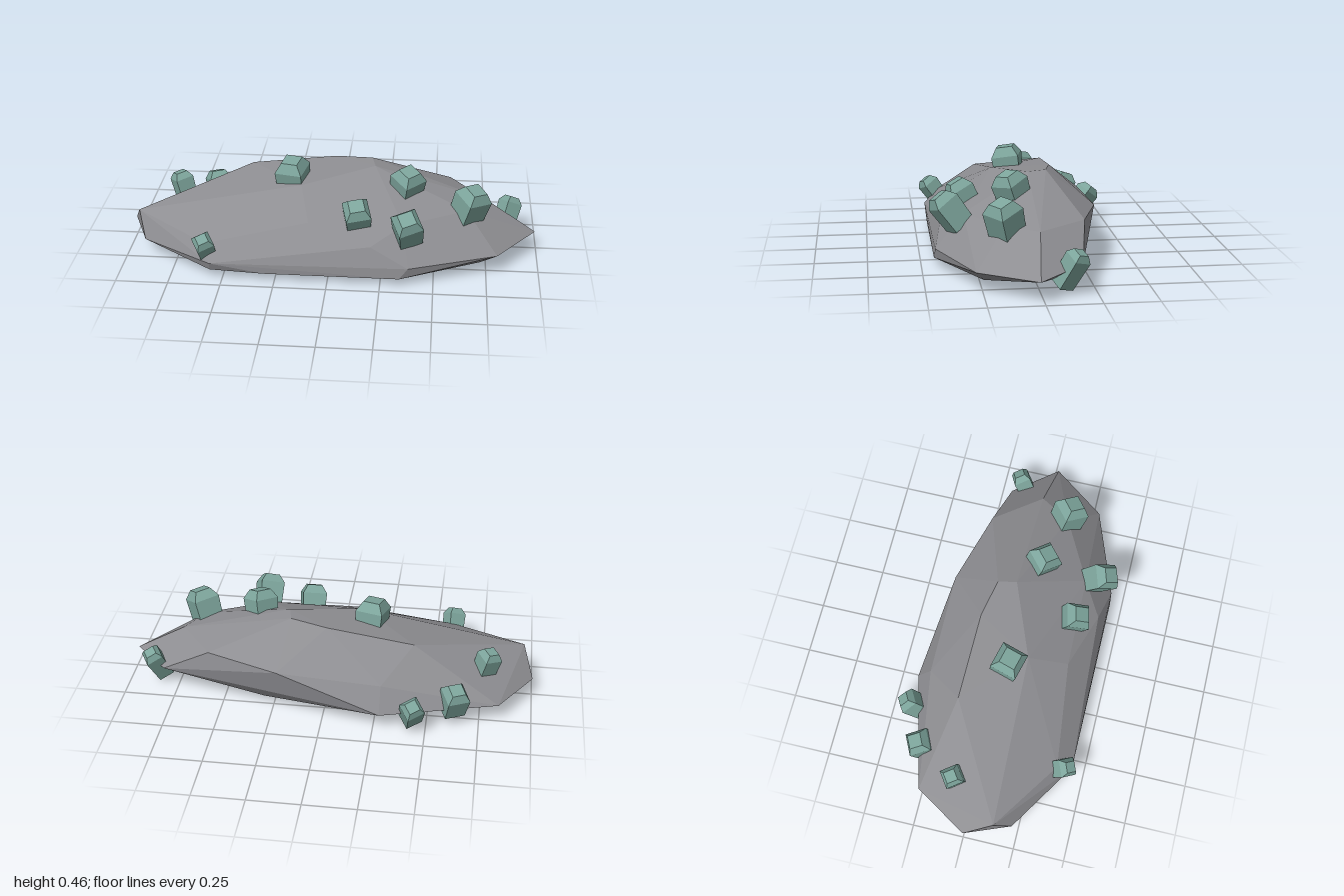
import * as THREE from 'three';
import { ConvexGeometry } from 'three/addons/geometries/ConvexGeometry.js';

const V = (p) => new THREE.Vector3(...p);

// Faceted slab of stone: a hull around a few corner points
function makeRock(material) {
  const base = [
    [0.34, 0.027, 0.44], [-0.3, 0.027, 0.44], [-0.56, 0.03, 0.425], [-0.84, 0.03, 0.18],
    [-0.86, 0.03, 0], [-0.76, 0.03, -0.18], [-0.28, 0.027, -0.26], [0.3, 0.027, -0.24],
    [0.72, 0.027, -0.1], [0.72, 0.027, 0.24],
  ];
  const rim = [
    [0.99, 0.09, 0.02], [0.8, 0.085, 0.28], [0.38, 0.08, 0.435], [-0.56, 0.07, 0.44],
    [-0.91, 0.07, 0.22], [-1, 0.08, 0], [-0.84, 0.085, -0.26], [-0.28, 0.08, -0.41],
    [0.81, 0.11, -0.19],
  ];
  const upper = [
    [-0.95, 0.19, 0.14], [-0.59, 0.14, 0.37], [0.2, 0.17, 0.4], [-0.1, 0.24, 0.31],
    [0.35, 0.24, 0.3], [0.65, 0.25, 0.14], [0.74, 0.245, -0.01], [0.57, 0.25, -0.235],
    [0.22, 0.23, -0.34], [-0.28, 0.2, -0.34],
  ];
  const ridge = [
    [-0.42, 0.33, -0.16], [0, 0.385, -0.15], [0.18, 0.4, -0.11], [0.2, 0.397, -0.02],
    [-0.15, 0.345, 0.12],
  ];
  const rock = new THREE.Mesh(
    new ConvexGeometry([...base, ...rim, ...upper, ...ridge].map(V)), material);
  rock.name = 'rock';
  return rock;
}

// Square crystal with a bevelled cap; its tip lies at the origin, its axis along +y
function makeCrystal(width, length, material) {
  const r = width / Math.SQRT2;
  const cap = width * 0.34;
  const profile = [
    [0, -length], [r * 0.92, -length], [r, -cap], [r * 0.6, 0], [0, 0],
  ].map(([x, y]) => new THREE.Vector2(x, y));
  const geometry = new THREE.LatheGeometry(profile, 4, Math.PI / 4).toNonIndexed();
  geometry.computeVertexNormals();
  return new THREE.Mesh(geometry, material);
}

export function createModel() {
  const stone = new THREE.MeshStandardMaterial({ color: 0x8e8e92 });
  stone.name = 'grey stone';
  const mineral = new THREE.MeshStandardMaterial({ color: 0x7da59c });
  mineral.name = 'pale green crystal';

  const model = new THREE.Group();
  model.name = 'crystalRock';
  model.add(makeRock(stone));

  // Crystals: tip, axis, width, length, spin about the axis
  const crystals = [
    [[-0.205, 0.442, 0.045], [-0.05, 1, 0.15], 0.135, 0.14, -0.25],
    [[0.37, 0.428, 0.1], [0.12, 0.93, 0.3], 0.125, 0.13, 0.75],
    [[0.13, 0.345, 0.325], [0, 0.85, 0.45], 0.12, 0.13, 0.25],
    [[0.37, 0.333, 0.42], [-0.02, 0.8, 0.58], 0.12, 0.18, 0.4],
    [[0.69, 0.37, 0.16], [0.25, 0.9, 0.2], 0.13, 0.19, 0.65],
    [[-0.59, 0.195, 0.435], [-0.03, 0.78, 0.55], 0.085, 0.12, 0.5],
    [[0.88, 0.185, -0.17], [0.25, 0.85, -0.42], 0.085, 0.18, 0.5],
    [[-0.44, 0.165, -0.44], [-0.08, 0.76, -0.6], 0.09, 0.18, 0.6],
    [[-0.64, 0.2, -0.325], [-0.15, 0.9, -0.3], 0.11, 0.15, 0.45],
    [[-0.79, 0.288, -0.105], [-0.25, 0.95, -0.1], 0.09, 0.14, 0.6],
  ];
  const up = new THREE.Vector3(0, 1, 0);
  crystals.forEach(([tip, axis, width, length, spin], i) => {
    const crystal = makeCrystal(width, length, mineral);
    crystal.name = `crystal${i + 1}`;
    crystal.position.set(...tip);
    crystal.quaternion.setFromUnitVectors(up, V(axis).normalize());
    crystal.rotateY(spin);
    model.add(crystal);
  });
  return model;
}
